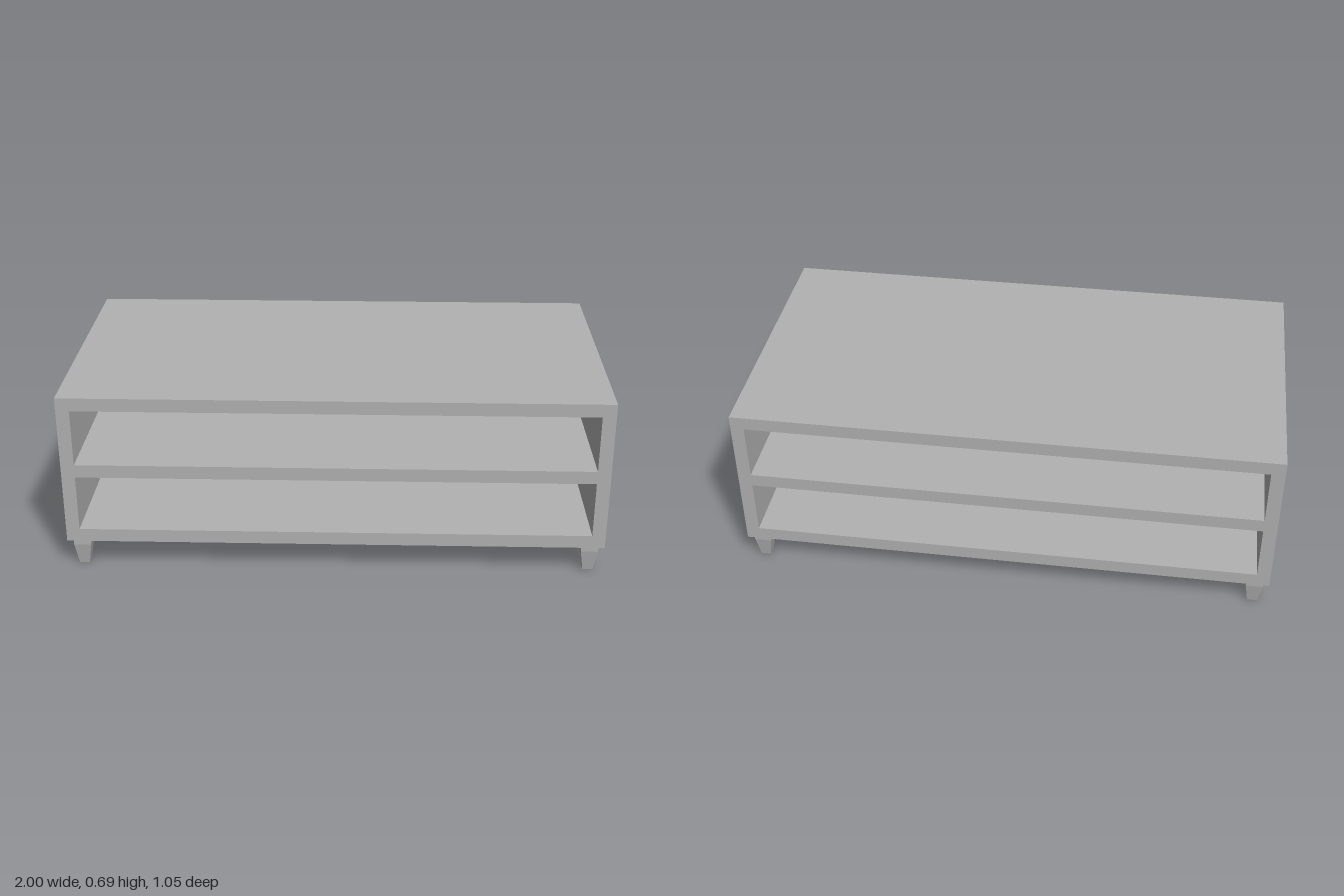
import * as THREE from 'three';

export function createModel() {
  const model = new THREE.Group();
  const grey = new THREE.MeshStandardMaterial({ color: 0xb2b2b2, flatShading: true });
  grey.name = 'grey';

  const depth = 1.054, bottom = 0.11, top = 0.69, wall = 0.05;

  const rectangle = (Type, x, y0, y1) => new Type([
    new THREE.Vector2(-x, y0), new THREE.Vector2(x, y0),
    new THREE.Vector2(x, y1), new THREE.Vector2(-x, y1),
  ]);

  // Cabinet: a solid frame with two bays open from front to back
  const outline = rectangle(THREE.Shape, 1, bottom, top);
  const bay = (top - bottom - 3 * wall) / 2;
  for (const y of [bottom + wall, bottom + 2 * wall + bay]) {
    outline.holes.push(rectangle(THREE.Path, 1 - wall, y, y + bay));
  }
  const frameGeometry = new THREE.ExtrudeGeometry(outline, { depth, bevelEnabled: false });
  frameGeometry.translate(0, 0, -depth / 2);
  const cabinet = new THREE.Mesh(frameGeometry, grey);
  cabinet.name = 'cabinetFrame';
  model.add(cabinet);

  // Legs: square, straight at the top and tapered towards the foot
  const legHeights = [0, 0.083, bottom];
  const legHalfWidths = [0.019, 0.032, 0.032];
  const legGeometries = [0, 1].map((i) => {
    const [y0, y1] = [legHeights[i], legHeights[i + 1]];
    const [r0, r1] = [legHalfWidths[i], legHalfWidths[i + 1]].map((w) => w * Math.SQRT2);
    return new THREE.CylinderGeometry(r1, r0, y1 - y0, 4, 1, i === 1)
      .rotateY(Math.PI / 4).translate(0, (y0 + y1) / 2, 0);
  });
  for (const [sx, side] of [[1, 'Left'], [-1, 'Right']]) {
    for (const [sz, end] of [[1, 'front'], [-1, 'back']]) {
      const leg = new THREE.Group();
      leg.name = `${end}${side}Leg`;
      legGeometries.forEach((geometry, i) => {
        const part = new THREE.Mesh(geometry, grey);
        part.name = ['taperedFoot', 'legCollar'][i];
        leg.add(part);
      });
      leg.position.set(sx * 0.948, 0, sz * 0.476);
      model.add(leg);
    }
  }
  return model;
}
